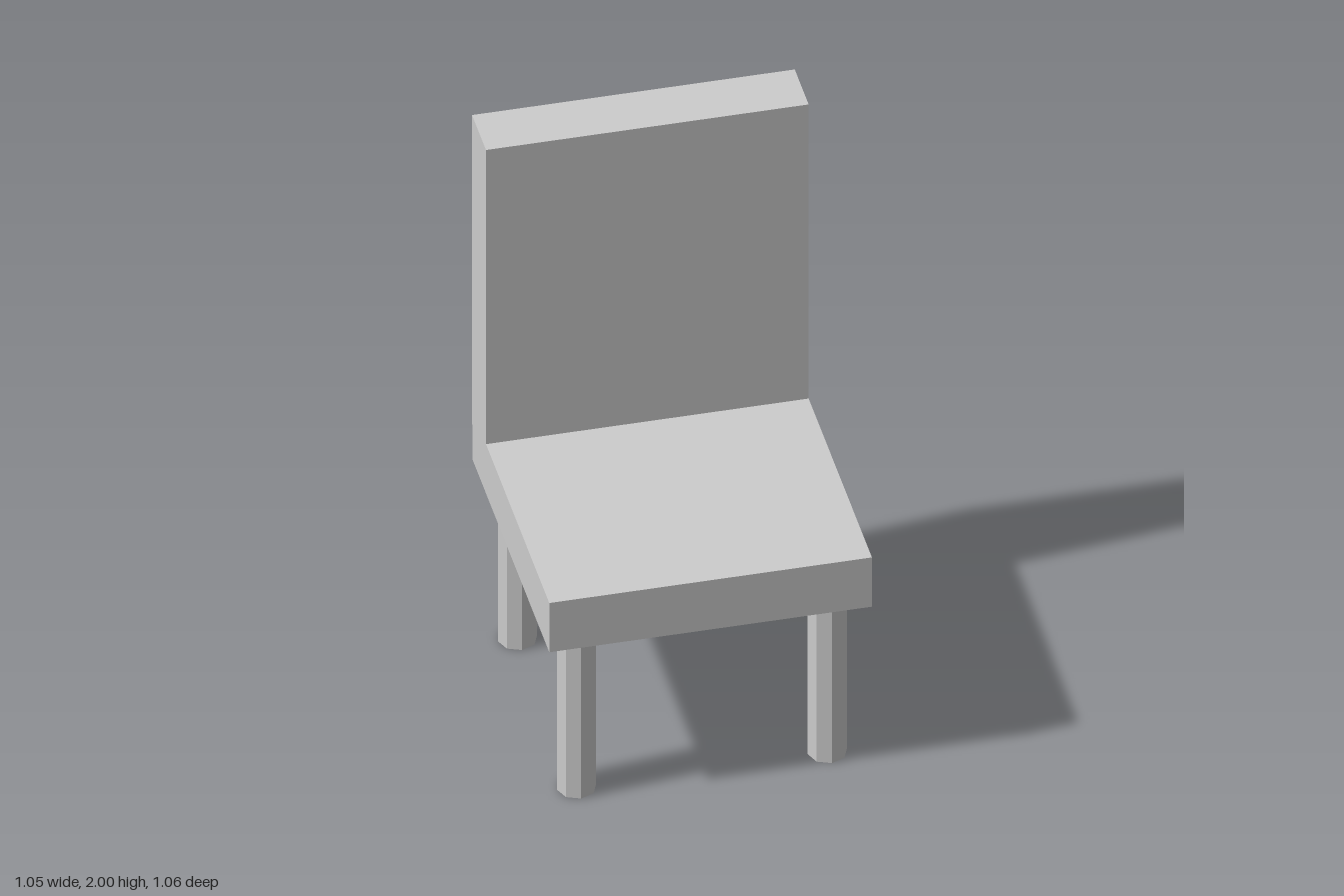
import * as THREE from 'three';

export function createModel() {
  const chair = new THREE.Group();
  chair.name = 'chair';

  const grey = new THREE.MeshStandardMaterial({ color: 0xcccccc, flatShading: true });
  grey.name = 'light grey';

  const add = (name, geometry, x, y, z) => {
    const mesh = new THREE.Mesh(geometry, grey);
    mesh.name = name;
    mesh.position.set(x, y, z);
    chair.add(mesh);
  };

  // Box given by its width and its y and z limits
  const slab = (name, width, y0, y1, z0, z1) =>
    add(name, new THREE.BoxGeometry(width, y1 - y0, z1 - z0), 0, (y0 + y1) / 2, (z0 + z1) / 2);

  // Thick square seat
  slab('seat', 1.055, 0.64, 0.835, -0.527, 0.532);

  // Upright backrest, sunk into the seat and standing slightly proud behind it
  slab('backrest', 1.055, 0.777, 2, -0.532, -0.34);

  // Four octagonal legs
  const legHeight = 0.66;
  const legGeometry = new THREE.CylinderGeometry(0.064, 0.064, legHeight, 8);
  for (const [end, z] of [['front', 0.412], ['back', -0.403]]) {
    for (const [side, x] of [['Left', 0.41], ['Right', -0.41]]) {
      add(`${end}${side}Leg`, legGeometry, x, legHeight / 2, z);
    }
  }

  return chair;
}
